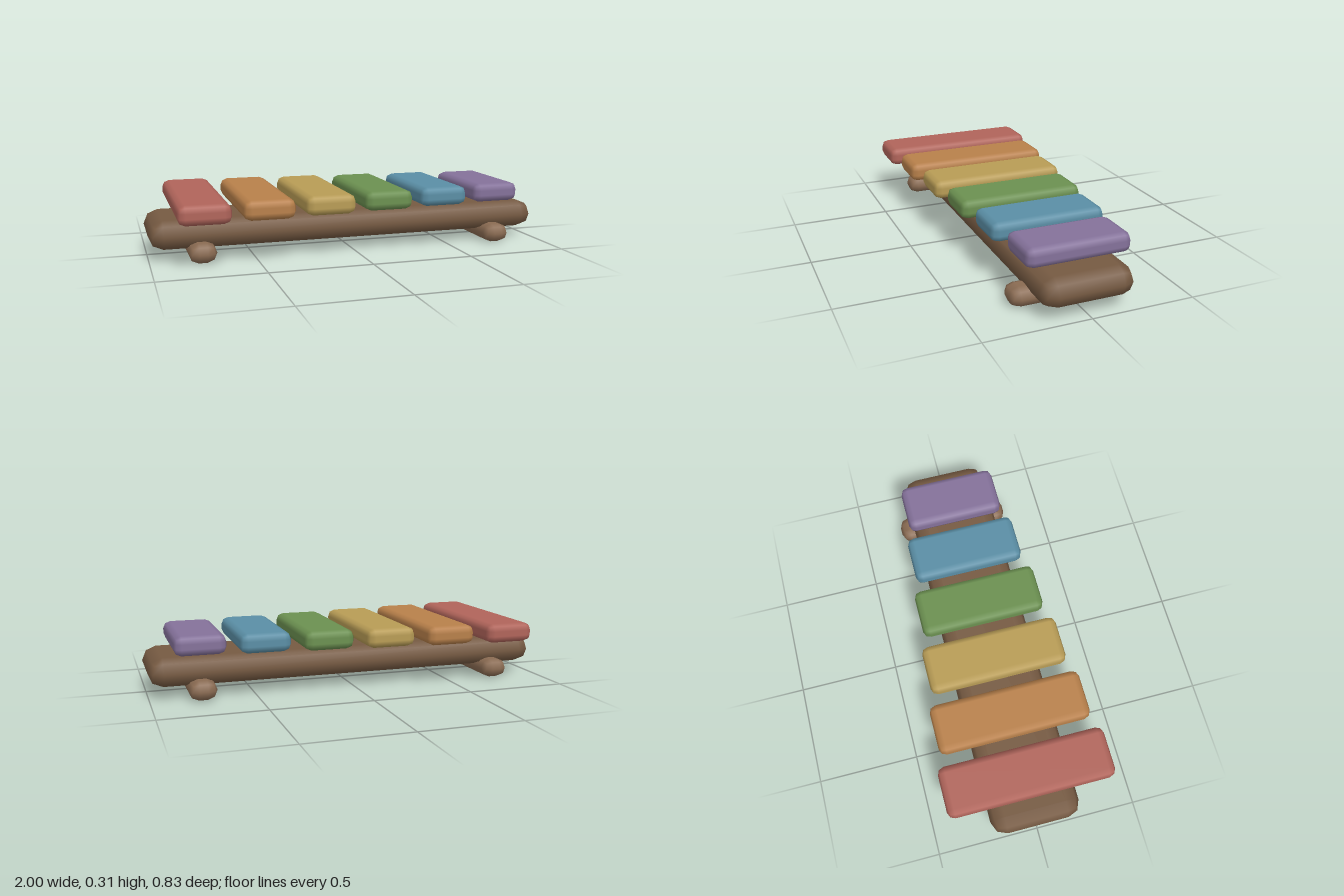
import * as THREE from 'three';
import { RoundedBoxGeometry } from 'three/addons/geometries/RoundedBoxGeometry.js';

export function createModel() {
  const model = new THREE.Group();
  model.name = 'xylophone';

  // Soft-edged block with one bevel ring per side
  function block(name, color, size, radius, position) {
    const mesh = new THREE.Mesh(
      new RoundedBoxGeometry(...size, 1, radius),
      new THREE.MeshStandardMaterial({ color })
    );
    mesh.name = name;
    mesh.position.set(...position);
    model.add(mesh);
  }

  // Wooden base board
  block('base', 0x765a42, [2, 0.14, 0.445], 0.07, [0, 0.125, 0]);

  // Feet running front to back under each end
  for (const side of [-1, 1]) {
    block(side < 0 ? 'rightFoot' : 'leftFoot', 0x8a6b52,
      [0.135, 0.095, 0.585], 0.0475, [side * 0.757, 0.0475, 0]);
  }

  // Tone bars, shortening from one end to the other
  const barColors = [0xb0645a, 0xb8804a, 0xb89c55, 0x6b9050, 0x5a8ea5, 0x84719a];
  barColors.forEach((color, i) => {
    block(`toneBar${i + 1}`, color, [0.246, 0.095, 0.826 - i * 0.065], 0.035,
      [(i - 2.5) * 0.304, 0.2575, 0]);
  });

  return model;
}
